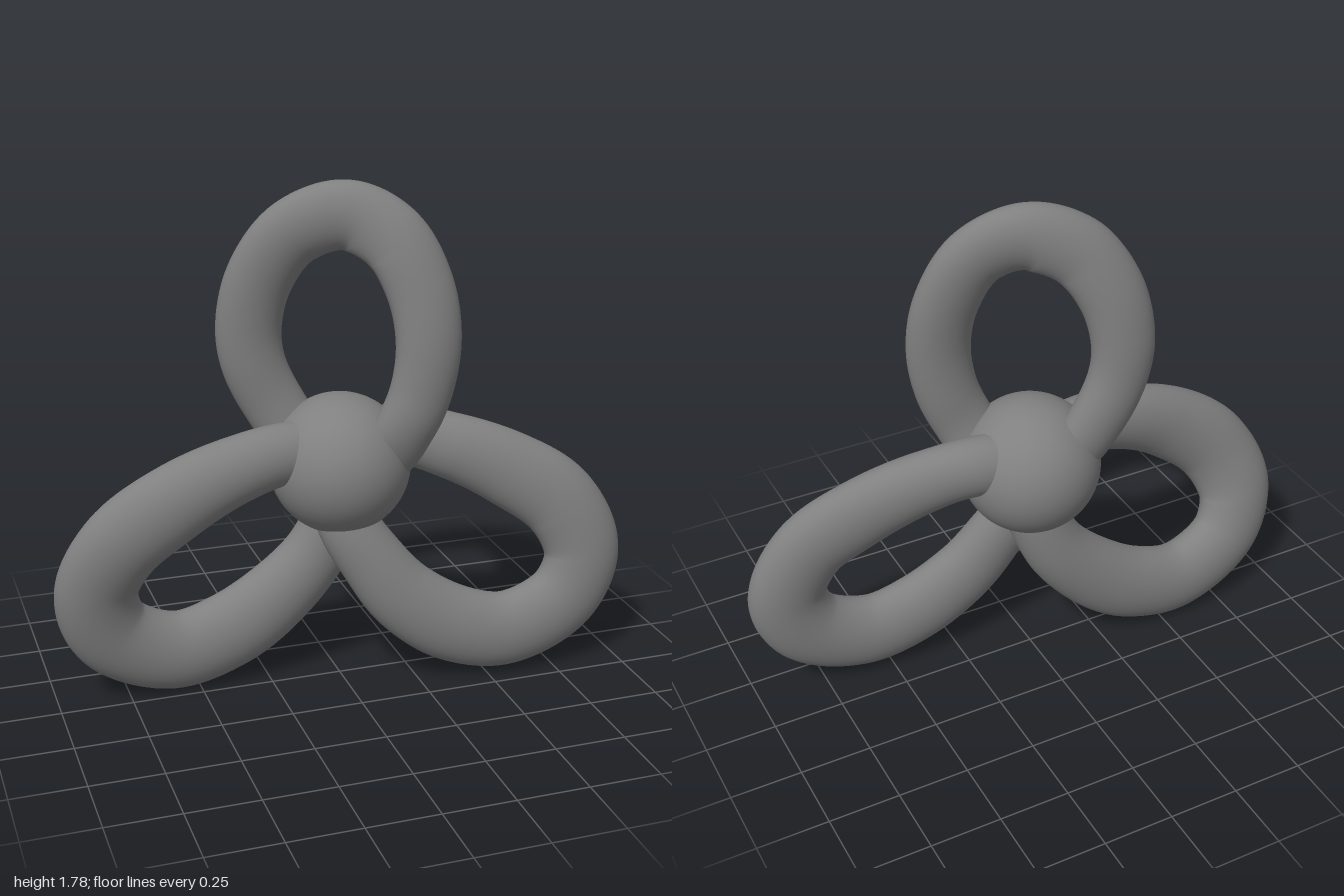
import * as THREE from 'three';

const material = new THREE.MeshStandardMaterial({ color: 0x808080 });
const HUB = new THREE.Vector3(0, 0.8, 0);
const HUB_RADIUS = 0.245;
const FORWARD = new THREE.Vector3(0, 0, 1);

// Centre line of each loop, starting and ending inside the hub. The tube is oval:
// "width" runs sideways (hub end, far end), "depth" runs front to back.
const LOOPS = [
  {
    name: 'topLoop', width: [0.106, 0.117], depth: 0.078,
    path: [[-0.1, 0.85, -0.08], [-0.2, 1.0, -0.12], [-0.267, 1.15, -0.128], [-0.281, 1.28, -0.125],
      [-0.245, 1.45, -0.1], [-0.145, 1.6, -0.05], [0.015, 1.66, 0.01], [0.153, 1.59, 0.08],
      [0.235, 1.43, 0.13], [0.259, 1.25, 0.158], [0.235, 1.08, 0.158], [0.188, 0.96, 0.145],
      [0.13, 0.85, 0.1], [0.01, 0.78, 0]],
  },
  {
    name: 'lowerRightLoop', width: [0.108, 0.143], depth: 0.096,
    path: [[-0.02, 0.83, 0], [-0.2, 0.865, 0.035], [-0.4, 0.83, 0.06], [-0.6, 0.745, 0.068],
      [-0.78, 0.605, 0.04], [-0.858, 0.42, -0.015], [-0.8, 0.25, -0.05], [-0.59, 0.145, -0.07],
      [-0.38, 0.19, -0.078], [-0.2, 0.31, -0.072], [-0.06, 0.47, -0.058], [0.01, 0.68, -0.03]],
  },
  {
    name: 'lowerLeftLoop', width: [0.108, 0.14], depth: 0.09,
    path: [[0.04, 0.83, -0.03], [0.22, 0.87, -0.03], [0.4, 0.825, 0.025], [0.6, 0.735, 0.08],
      [0.78, 0.605, 0.13], [0.86, 0.42, 0.157], [0.79, 0.255, 0.162], [0.58, 0.16, 0.157],
      [0.38, 0.2, 0.145], [0.2, 0.32, 0.122], [0.09, 0.46, 0.095], [0.01, 0.6, 0.06], [0, 0.72, 0.02]],
  },
];

// Sweeps an oval section around a closed curve.
function ovalLoop({ path, width, depth }, steps = 140, sides = 32) {
  const curve = new THREE.CatmullRomCurve3(path.map((p) => new THREE.Vector3(...p)), true);
  const positions = [];
  const index = [];
  for (let i = 0; i < steps; i++) {
    const centre = curve.getPointAt(i / steps);
    const across = FORWARD.clone().cross(curve.getTangentAt(i / steps)).normalize();
    const reach = THREE.MathUtils.smoothstep(centre.distanceTo(HUB), 0.2, 0.75);
    const w = THREE.MathUtils.lerp(width[0], width[1], reach);
    for (let j = 0; j < sides; j++) {
      const angle = (j / sides) * Math.PI * 2;
      const p = centre.clone()
        .addScaledVector(across, w * Math.cos(angle))
        .addScaledVector(FORWARD, depth * Math.sin(angle));
      positions.push(p.x, p.y, p.z);
      const i2 = (i + 1) % steps;
      const j2 = (j + 1) % sides;
      const p00 = i * sides + j, p01 = i * sides + j2;
      const p10 = i2 * sides + j, p11 = i2 * sides + j2;
      index.push(p00, p01, p10, p01, p11, p10);
    }
  }
  const geometry = new THREE.BufferGeometry();
  geometry.setAttribute('position', new THREE.Float32BufferAttribute(positions, 3));
  geometry.setIndex(index);
  geometry.computeVertexNormals();
  return geometry;
}

export function createModel() {
  const group = new THREE.Group();

  // Central ball
  const hub = new THREE.Mesh(new THREE.SphereGeometry(HUB_RADIUS, 64, 40), material);
  hub.name = 'hub';
  hub.position.copy(HUB);
  group.add(hub);

  // Three oval loops growing out of the ball
  for (const spec of LOOPS) {
    const loop = new THREE.Mesh(ovalLoop(spec), material);
    loop.name = spec.name;
    group.add(loop);
  }
  return group;
}
